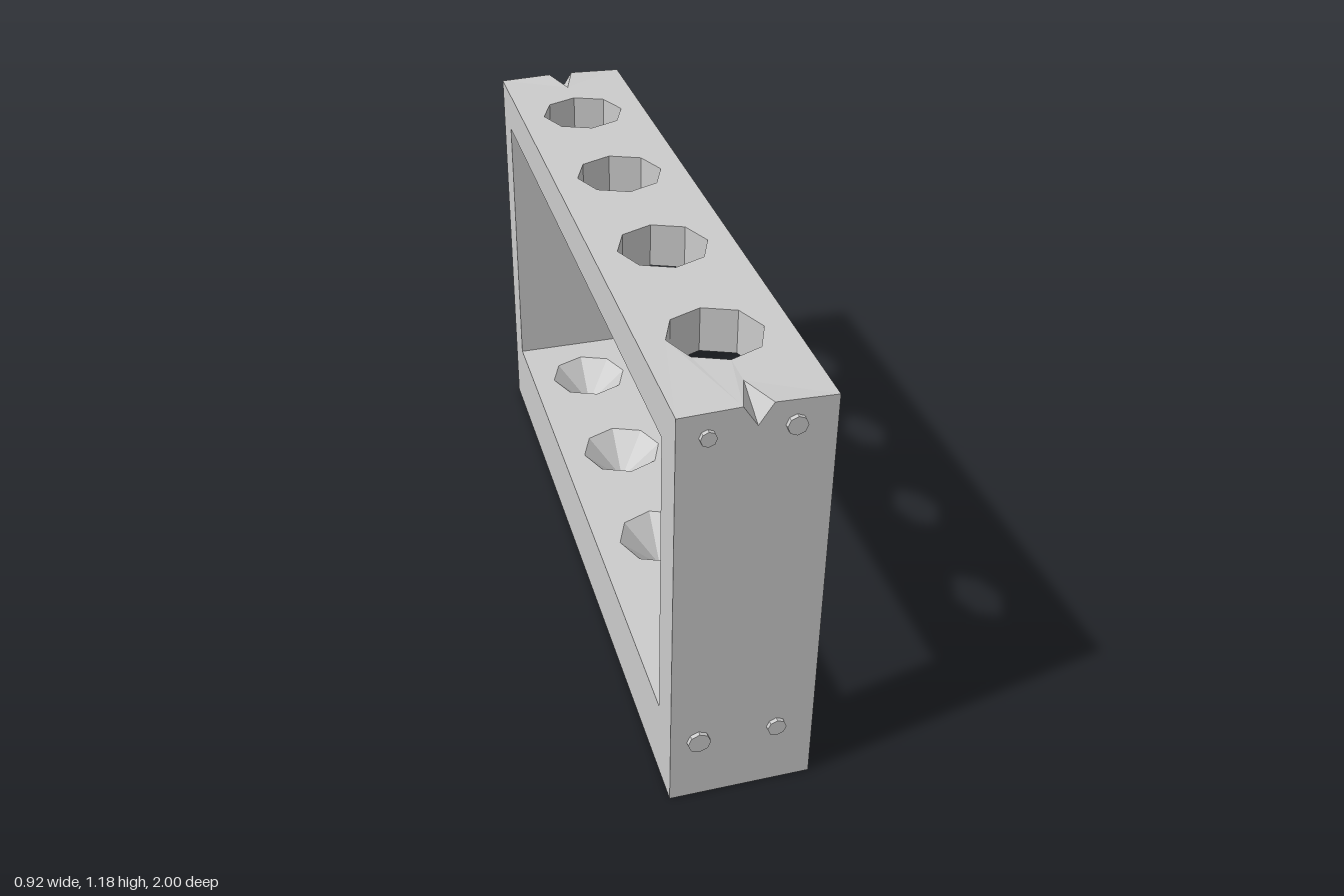
import * as THREE from 'three';

const W = 0.1875, L = 0.9855, H = 1.175;            // half width, half length, height
const IN = 0.8785, FLOOR = 0.225, CEIL = 1.055;     // window through the frame
const R = 0.12, PIT = 0.11, HOLES = [-0.67, -0.223, 0.223, 0.67];
const NW = 0.036, ND = 0.05, LIP = 0.005;           // end notch: half width, depth, raised lip

const mat = new THREE.MeshStandardMaterial({ color: 0xcccccc, flatShading: true, side: THREE.DoubleSide });

const poly = (pts) => new THREE.Shape(pts.map(([x, y]) => new THREE.Vector2(x, y)));
const rect = (x, y0, y1) => [[-x, y0], [x, y0], [x, y1], [-x, y1]];

function add(parent, name, geo, x = 0, y = 0, z = 0) {
  const m = new THREE.Mesh(geo, mat);
  m.name = name;
  m.position.set(x, y, z);
  parent.add(m);
  return m;
}

// Horizontal sheet pierced by the row of octagonal holes
function piercedSheet(outline) {
  const s = poly(outline);
  for (const c of HOLES) {
    const pts = [];
    for (let k = 0; k < 8; k++) {
      const a = -k * Math.PI / 4;
      pts.push(new THREE.Vector2(R * Math.cos(a), c + R * Math.sin(a)));
    }
    s.holes.push(new THREE.Path(pts));
  }
  return new THREE.ShapeGeometry(s).rotateX(-Math.PI / 2);
}

export function createModel() {
  const group = new THREE.Group();
  group.name = 'rack';
  const body = new THREE.Group();
  body.name = 'rackBody';
  body.rotation.y = 0.288;
  group.add(body);

  // Top surface with a triangular cut at each end, its lips slightly raised
  const top = piercedSheet([
    [-W, -L], [-NW, -L], [0, -IN], [NW, -L], [W, -L],
    [W, L], [NW, L], [0, IN], [-NW, L], [-W, L],
  ]);
  const p = top.attributes.position;
  for (let i = 0; i < p.count; i++) {
    if (Math.abs(Math.abs(p.getX(i)) - NW) < 1e-4 && Math.abs(p.getZ(i)) > L - 1e-4) p.setY(i, LIP);
  }
  top.computeVertexNormals();
  add(body, 'topSurface', top, 0, H);

  // Window ceiling, window floor and underside
  add(body, 'windowCeiling', piercedSheet(rect(W, -IN, IN)).rotateZ(Math.PI), 0, CEIL);
  add(body, 'windowFloor', piercedSheet(rect(W, -IN, IN)), 0, FLOOR);
  add(body, 'underside', new THREE.PlaneGeometry(2 * W, 2 * L).rotateX(Math.PI / 2));

  // Hole walls in the top bar and conical rests in the bottom bar
  for (const z of HOLES) {
    add(body, 'holeWall', new THREE.CylinderGeometry(R, R, H - CEIL, 8, 1, true), 0, (H + CEIL) / 2, z);
    add(body, 'conicalRest', new THREE.ConeGeometry(R, PIT, 8, 1, true).rotateX(Math.PI), 0, FLOOR - PIT / 2, z);
  }

  // Long side faces with the window
  for (const s of [1, -1]) {
    const side = poly(rect(L, 0, H));
    side.holes.push(new THREE.Path(rect(IN, FLOOR, CEIL).reverse().map(([x, y]) => new THREE.Vector2(x, y))));
    add(body, s > 0 ? 'leftSide' : 'rightSide', new THREE.ShapeGeometry(side).rotateY(s * Math.PI / 2), s * W);
  }

  // End panels, notch facets, window end walls and screw heads
  for (const s of [1, -1]) {
    const end = new THREE.Group();
    end.name = s > 0 ? 'frontEnd' : 'backEnd';
    body.add(end);

    const face = poly([[-W, 0], [W, 0], [W, H], [NW, H + LIP], [0, H - ND], [-NW, H + LIP], [-W, H]]);
    const faceGeo = new THREE.ShapeGeometry(face);
    if (s < 0) faceGeo.rotateY(Math.PI);
    add(end, 'endPanel', faceGeo, 0, 0, s * L);

    const notch = new THREE.BufferGeometry();
    notch.setAttribute('position', new THREE.Float32BufferAttribute([
      -NW, H + LIP, s * L, 0, H - ND, s * L, 0, H, s * IN,
      NW, H + LIP, s * L, 0, H, s * IN, 0, H - ND, s * L,
    ], 3));
    notch.computeVertexNormals();
    add(end, 'notch', notch);

    const wall = new THREE.PlaneGeometry(2 * W, CEIL - FLOOR);
    if (s > 0) wall.rotateY(Math.PI);
    add(end, 'windowEndWall', wall, 0, (CEIL + FLOOR) / 2, s * IN);

    for (const [x, y, r] of [[-0.115, 1.115, 0.02], [0.089, 1.115, 0.025], [-0.115, 0.19, 0.03], [0.089, 0.19, 0.025]]) {
      add(end, 'screwHead', new THREE.CylinderGeometry(r, r, 0.016, 8).rotateX(Math.PI / 2), x, y, s * (L + 0.003));
    }
  }
  return group;
}
